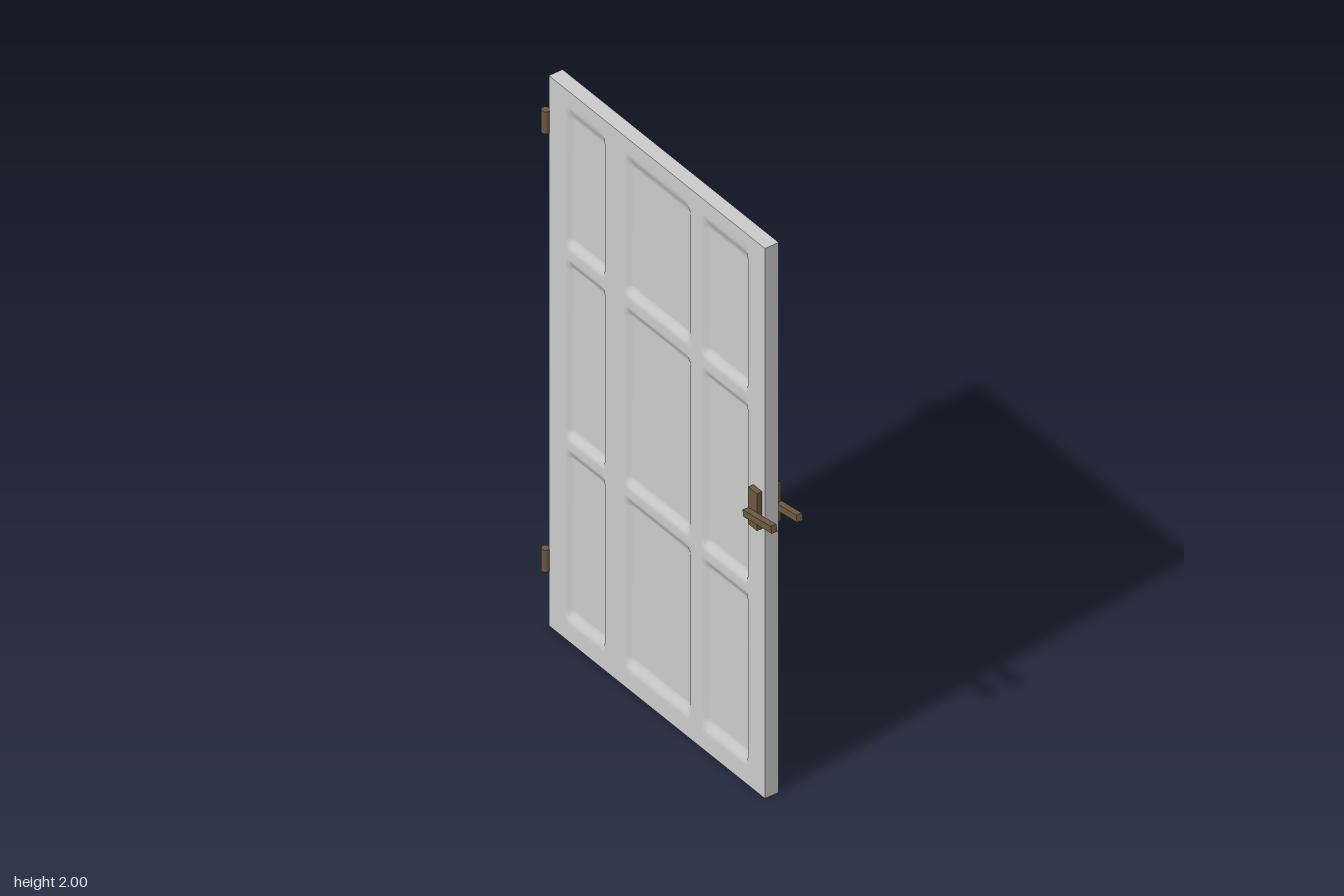
import * as THREE from 'three';

const grey = new THREE.MeshStandardMaterial({ color: 0xcccccc });
const bronze = new THREE.MeshStandardMaterial({ color: 0x6b5a3f });

const FRONT = 0.012, BACK = -0.038, DEPTH = 0.015;
const FIELD = { x0: -0.51, x1: 0.425, y0: 0.045, y1: 1.965 };

// Each recess span: start, end, width of the bevel at the start, width of the bevel at the end
const COLUMNS = [[-0.49, -0.295, 0.03, 0.012], [-0.205, 0.13, 0.035, 0.035], [0.175, 0.405, 0.035, 0.012]];
const ROWS = [[0.065, 0.70, 0.05, 0.04], [0.725, 1.39, 0.045, 0.04], [1.42, 1.945, 0.045, 0.05]];

// 0 on the rails, rising softly to 1 on the panel floor
function recess(spans, t) {
  for (const [a, b, wa, wb] of spans) {
    if (t > a && t < b) {
      return THREE.MathUtils.smoothstep(t, a, a + wa) * (1 - THREE.MathUtils.smoothstep(t, b - wb, b));
    }
  }
  return 0;
}

// Grid lines, dense across the bevels and sparse on the flats
function gridLines(spans, start, end) {
  const lines = [start];
  const steps = 6;
  for (const [a, b, wa, wb] of spans) {
    for (let i = 0; i <= steps; i++) lines.push(a + (wa * i) / steps);
    for (let i = 0; i <= steps; i++) lines.push(b - wb + (wb * i) / steps);
  }
  lines.push(end);
  return lines;
}

// Sheet of nine recessed panels; side is +1 for the front and -1 for the back
function panelSheet(side) {
  const xs = gridLines(COLUMNS, FIELD.x0, FIELD.x1);
  const ys = gridLines(ROWS, FIELD.y0, FIELD.y1);
  const positions = [], index = [];
  const surface = side > 0 ? FRONT : BACK;
  for (const y of ys) {
    for (const x of xs) {
      positions.push(x, y, surface - side * DEPTH * recess(COLUMNS, x) * recess(ROWS, y));
    }
  }
  const n = xs.length;
  for (let j = 0; j < ys.length - 1; j++) {
    for (let i = 0; i < n - 1; i++) {
      const a = j * n + i, b = a + 1, c = b + n, d = a + n;
      if (side > 0) index.push(a, b, c, a, c, d);
      else index.push(a, c, b, a, d, c);
    }
  }
  const geometry = new THREE.BufferGeometry();
  geometry.setAttribute('position', new THREE.Float32BufferAttribute(positions, 3));
  geometry.setIndex(index);
  geometry.computeVertexNormals();
  return geometry;
}

function rectangle(PathType, x0, y0, x1, y1) {
  return new PathType([[x0, y0], [x1, y0], [x1, y1], [x0, y1]].map(([x, y]) => new THREE.Vector2(x, y)));
}

function addMesh(parent, name, geometry, material) {
  const mesh = new THREE.Mesh(geometry, material);
  mesh.name = name;
  parent.add(mesh);
  return mesh;
}

// Lever bar laid from one point to another
function addLever(parent, from, to) {
  const direction = to.clone().sub(from);
  const bar = addMesh(parent, 'lever', new THREE.BoxGeometry(direction.length(), 0.024, 0.02), bronze);
  bar.position.copy(from).lerp(to, 0.5);
  bar.quaternion.setFromUnitVectors(new THREE.Vector3(1, 0, 0), direction.normalize());
}

export function createModel() {
  const door = new THREE.Group();
  door.name = 'door';

  // Outer frame of the leaf, with an opening for the panel sheets
  const outline = rectangle(THREE.Shape, -0.57, 0, 0.488, 2);
  outline.holes.push(rectangle(THREE.Path, FIELD.x0, FIELD.y0, FIELD.x1, FIELD.y1));
  const frame = new THREE.ExtrudeGeometry(outline, { depth: FRONT - BACK, bevelEnabled: false });
  addMesh(door, 'doorFrame', frame, grey).position.z = BACK;
  addMesh(door, 'frontPanels', panelSheet(1), grey);
  addMesh(door, 'backPanels', panelSheet(-1), grey);

  // Hinge barrels on the right edge
  for (const [name, y] of [['lowerHinge', 0.24], ['upperHinge', 1.834]]) {
    const hinge = addMesh(door, name, new THREE.CylinderGeometry(0.0135, 0.0135, 0.08, 16), bronze);
    hinge.position.set(-0.579, y, 0.017);
  }

  // Plate and lever on each face; both levers slant the same way
  for (const [name, plateZ, leverZ] of [['frontHandle', 0.021, 0.04], ['backHandle', -0.046, -0.053]]) {
    const handle = new THREE.Group();
    handle.name = name;
    const plate = addMesh(handle, 'plate', new THREE.BoxGeometry(0.044, 0.135, 0.02), bronze);
    plate.position.set(0.453, 1.041, plateZ);
    addLever(handle, new THREE.Vector3(0.432, 1.021, leverZ), new THREE.Vector3(0.584, 1.054, leverZ + 0.01));
    door.add(handle);
  }
  return door;
}
